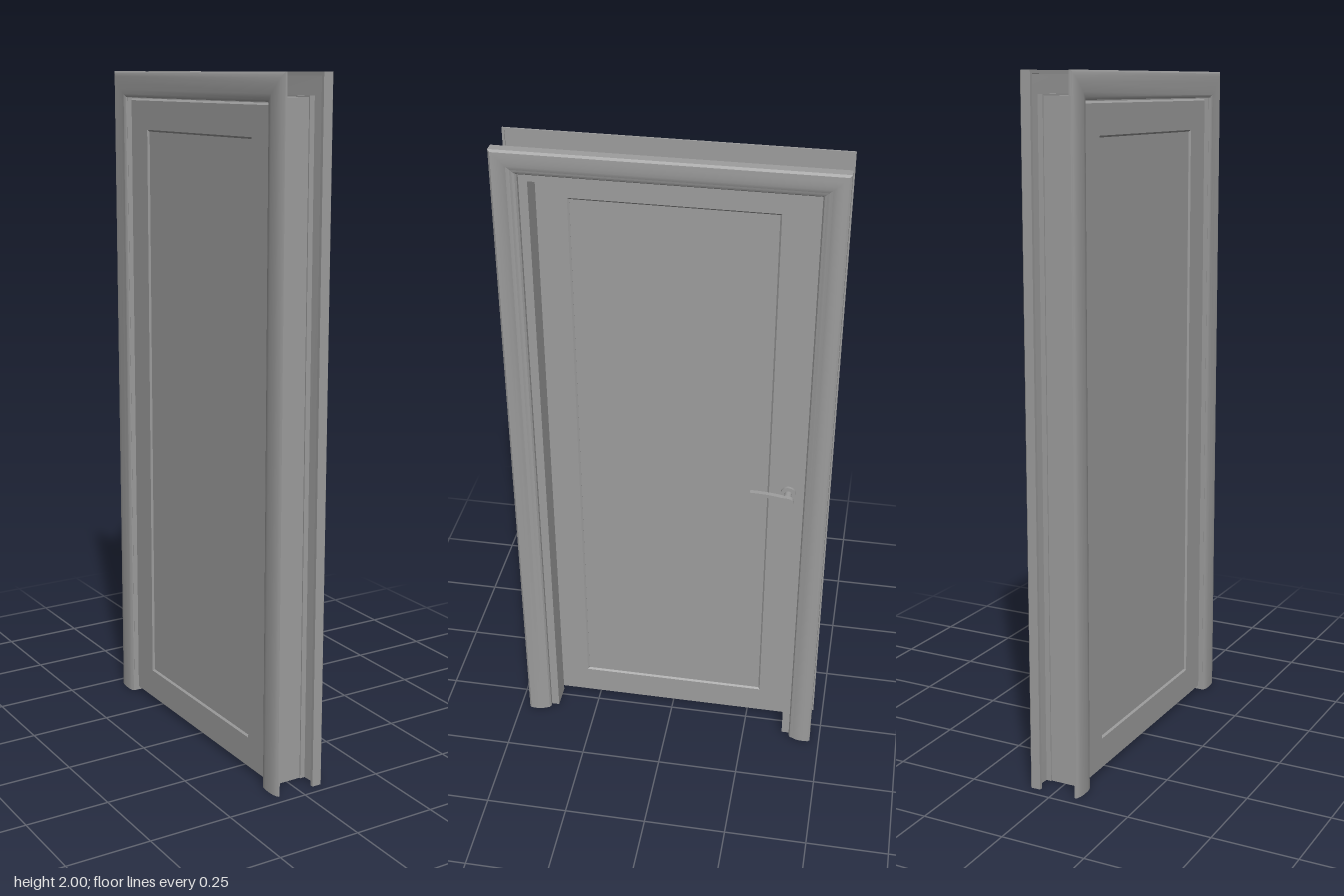
import * as THREE from 'three';
import { toCreasedNormals } from 'three/addons/utils/BufferGeometryUtils.js';

const material = new THREE.MeshStandardMaterial({ color: 0x9d9d9d });

function mesh(name, geometry) {
  const m = new THREE.Mesh(geometry, material);
  m.name = name;
  return m;
}

// Sweeps a closed profile up, over and down the doorway with mitred corners.
// Profile points are [distance from the door's centre line, x].
function doorwaySweep(name, points) {
  const profile = points.map(([w, x]) => new THREE.Vector2(w, x));
  if (THREE.ShapeUtils.isClockWise(profile)) profile.reverse();
  const rise = 1.53;
  const stations = [
    p => [p.y, 0, p.x],
    p => [p.y, p.x + rise, p.x],
    p => [p.y, p.x + rise, -p.x],
    p => [p.y, 0, -p.x],
  ];
  const pos = [];
  for (let s = 0; s < 3; s++) {
    profile.forEach((p, i) => {
      const q = profile[(i + 1) % profile.length];
      const a = stations[s](p), b = stations[s](q);
      const c = stations[s + 1](q), d = stations[s + 1](p);
      pos.push(...a, ...b, ...c, ...a, ...c, ...d);
    });
  }
  for (const [i, j, k] of THREE.ShapeUtils.triangulateShape(profile, [])) {
    for (const n of [k, j, i]) pos.push(...stations[0](profile[n]));
    for (const n of [i, j, k]) pos.push(...stations[3](profile[n]));
  }
  const g = new THREE.BufferGeometry();
  g.setAttribute('position', new THREE.Float32BufferAttribute(pos, 3));
  return mesh(name, toCreasedNormals(g, 0.5));
}

// Extrudes a shape drawn in (-z, y) along x, from x0 to x1, with an optional chamfer.
function extrudeX(shape, x0, x1, chamfer = 0) {
  const g = new THREE.ExtrudeGeometry(shape, {
    depth: x1 - x0 - 2 * chamfer, curveSegments: 16,
    bevelEnabled: chamfer > 0, bevelSize: chamfer, bevelThickness: chamfer, bevelSegments: 1,
  });
  return g.rotateY(Math.PI / 2).translate(x0 + chamfer, 0, 0);
}

function rectangle(PathType, half, y0, y1) {
  return new PathType([
    new THREE.Vector2(-half, y0), new THREE.Vector2(half, y0),
    new THREE.Vector2(half, y1), new THREE.Vector2(-half, y1),
  ]);
}

function makeDoor() {
  const door = new THREE.Group();
  door.name = 'doorLeaf';

  // Stiles and rails with a chamfer around a slightly sunken panel
  const border = rectangle(THREE.Shape, 0.387, 0.015, 1.915);
  border.holes.push(rectangle(THREE.Path, 0.29, 0.105, 1.83));
  door.add(mesh('stilesAndRails', extrudeX(border, -0.059, -0.026, 0.005)));
  const panel = new THREE.BoxGeometry(0.022, 1.722, 0.578);
  panel.translate(-0.0425, 0.9675, 0);
  door.add(mesh('panel', panel));
  return door;
}

function makeHandle() {
  const handle = new THREE.Group();
  handle.name = 'handle';
  const cylinder = (name, radius, x0, x1) => {
    const g = new THREE.CylinderGeometry(radius, radius, x1 - x0, 24);
    g.rotateZ(Math.PI / 2).translate((x0 + x1) / 2, 0.924, -0.348);
    handle.add(mesh(name, g));
  };
  cylinder('rosette', 0.023, -0.027, -0.018);
  cylinder('neck', 0.011, -0.02, 0.015);

  // Curved lever tapering to its tip
  const s = new THREE.Shape();
  s.moveTo(0.238, 0.944);
  s.bezierCurveTo(0.28, 0.94, 0.31, 0.934, 0.33, 0.918);
  s.bezierCurveTo(0.342, 0.902, 0.366, 0.906, 0.368, 0.923);
  s.bezierCurveTo(0.368, 0.941, 0.348, 0.942, 0.335, 0.941);
  s.bezierCurveTo(0.31, 0.946, 0.28, 0.949, 0.238, 0.949);
  handle.add(mesh('lever', extrudeX(s, 0.012, 0.026)));
  return handle;
}

export function createModel() {
  const model = new THREE.Group();
  model.name = 'door';

  // Jamb with a rebate that the leaf closes into
  model.add(doorwaySweep('jamb', [
    [0.405, -0.07], [0.405, 0.05], [0.376, 0.05], [0.376, -0.025], [0.393, -0.025], [0.393, -0.07],
  ]));

  // Deep casing: rounded towards the opening, with a return along its outer edge
  model.add(doorwaySweep('frontCasing', [
    [0.4, 0.045], [0.4, 0.062], [0.404, 0.068], [0.41, 0.071], [0.416, 0.073],
    [0.425, 0.077], [0.437, 0.0795], [0.45, 0.08], [0.464, 0.079], [0.47, 0.074],
    [0.47, 0.046], [0.46, 0.046], [0.46, 0.064], [0.409, 0.06], [0.409, 0.045],
  ]));

  // Shallow casing on the other face, with a small lip behind its outer edge
  model.add(doorwaySweep('backCasing', [
    [0.394, -0.069], [0.394, -0.074], [0.402, -0.078], [0.415, -0.08], [0.44, -0.08],
    [0.455, -0.078], [0.465, -0.075], [0.47, -0.072], [0.47, -0.067], [0.463, -0.067],
    [0.463, -0.071], [0.41, -0.071], [0.41, -0.069],
  ]));

  model.add(makeDoor(), makeHandle());
  return model;
}
